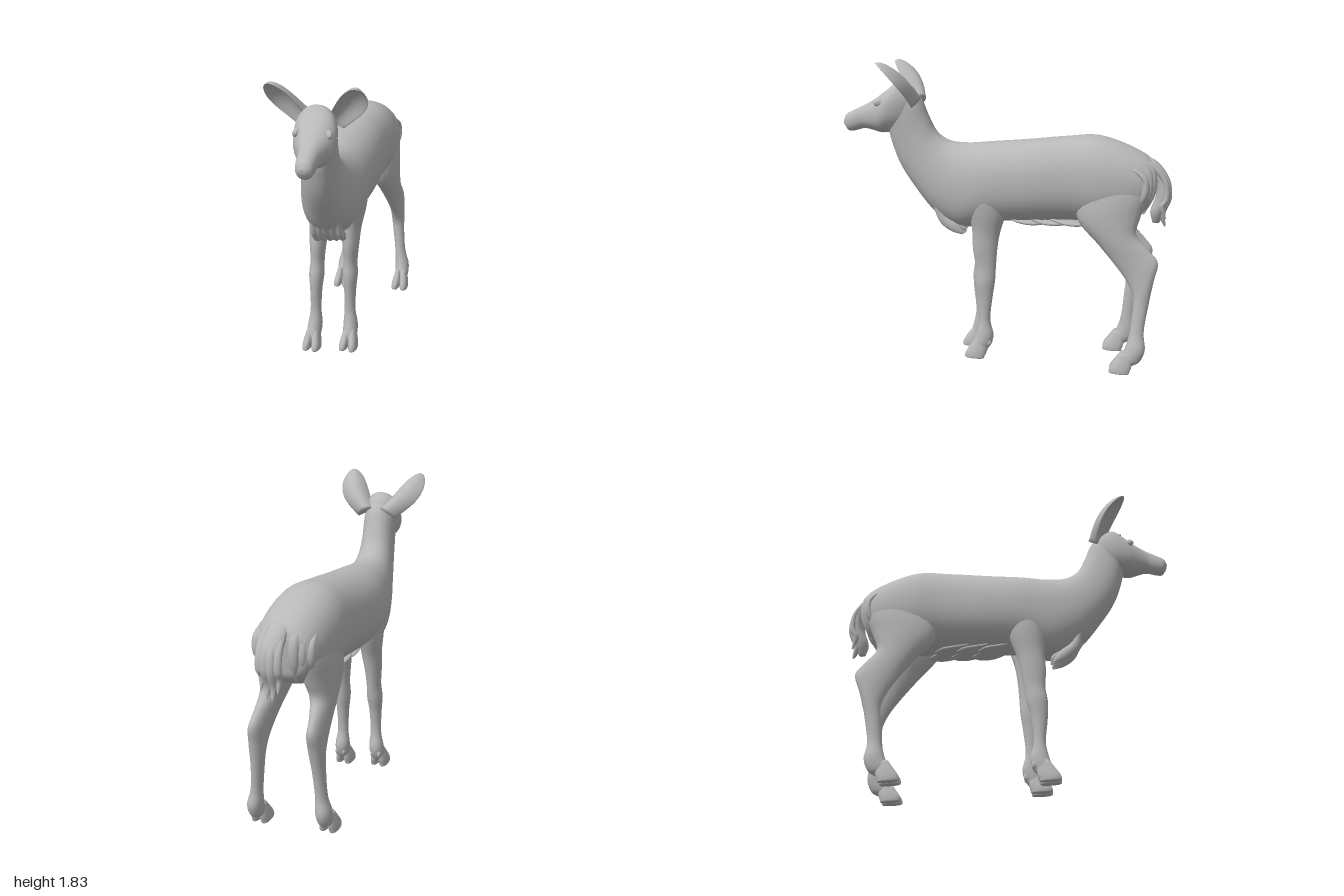
import * as THREE from 'three';

const coat = new THREE.MeshStandardMaterial({ color: 0xb8b8b8 });
coat.name = 'greyCoat';

// Closed skin over a list of rings, each an array of Vector3
function skin(rings) {
  const n = rings[0].length, pos = [], idx = [];
  rings.forEach(r => r.forEach(p => pos.push(p.x, p.y, p.z)));
  for (let i = 0; i < rings.length - 1; i++) for (let j = 0; j < n; j++) {
    const a = i * n + j, b = i * n + (j + 1) % n;
    idx.push(a, b, a + n, b, b + n, a + n);
  }
  [0, rings.length - 1].forEach((k, end) => {
    const c = rings[k].reduce((s, p) => s.add(p), new THREE.Vector3()).divideScalar(n);
    const ci = pos.length / 3;
    pos.push(c.x, c.y, c.z);
    for (let j = 0; j < n; j++) {
      const a = k * n + j, b = k * n + (j + 1) % n;
      end ? idx.push(ci, a, b) : idx.push(ci, b, a);
    }
  });
  const g = new THREE.BufferGeometry();
  g.setAttribute('position', new THREE.Float32BufferAttribute(pos, 3));
  g.setIndex(idx);
  g.computeVertexNormals();
  return g;
}

// Smooth loft; each row is [z1, y1, z2, y2, centreX, halfWidth], two opposite edges of a section
function loft(rows, sub = 5, sides = 28, power = 2.2) {
  const A = new THREE.CatmullRomCurve3(rows.map(r => new THREE.Vector3(r[4], r[1], r[0])), false, 'centripetal');
  const B = new THREE.CatmullRomCurve3(rows.map(r => new THREE.Vector3(r[5], r[3], r[2])), false, 'centripetal');
  const rings = [], steps = (rows.length - 1) * sub, round = v => Math.sign(v) * Math.abs(v) ** (2 / power);
  for (let i = 0; i <= steps; i++) {
    const a = A.getPoint(i / steps), b = B.getPoint(i / steps), ring = [];
    for (let j = 0; j < sides; j++) {
      const t = j / sides * Math.PI * 2, s = round(Math.sin(t)), c = round(Math.cos(t));
      ring.push(new THREE.Vector3(a.x + b.x * c, (a.y + b.y) / 2 + (a.y - b.y) / 2 * s, (a.z + b.z) / 2 + (a.z - b.z) / 2 * s));
    }
    rings.push(ring);
  }
  return skin(rings);
}

// Lock of fur through points [x, y, z, halfWidth, halfDepth]
function lock(pts, sub = 4, sides = 10) {
  return loft(pts.map((p, i) => {
    const q = pts[Math.max(i - 1, 0)], r = pts[Math.min(i + 1, pts.length - 1)];
    const ty = r[1] - q[1], tz = r[2] - q[2], l = Math.hypot(ty, tz) || 1;
    const ny = tz / l * p[4], nz = -ty / l * p[4];
    return [p[2] + nz, p[1] + ny, p[2] - nz, p[1] - ny, p[0], p[3]];
  }), sub, sides, 2);
}

// Cupped, round-tipped ear
function ear(side) {
  const curve = new THREE.QuadraticBezierCurve3(
    new THREE.Vector3(0.07, 1.585, 0.575), new THREE.Vector3(0.195, 1.7, 0.6), new THREE.Vector3(0.235, 1.84, 0.715));
  const N = new THREE.Vector3(0.25, -0.5, 0.8).normalize(), rings = [];
  const S = new THREE.Vector3(0.47, 0.74, 0.47).cross(N).normalize();
  for (let i = 0; i <= 24; i++) {
    const t = 1 - (1 - i / 24) ** 1.5, p = curve.getPoint(t), ring = [];
    const w = 0.003 + 0.08 * Math.max(0, Math.sin(Math.PI * (0.2 + 0.8 * t ** 1.6))) ** 0.55;
    for (let j = 0; j < 24; j++) {
      const a = j / 24 * Math.PI * 2, u = Math.cos(a);
      const d = -w * 0.7 * (1 - u * u) + 0.02 * t + (0.005 + 0.028 * (1 - t) ** 2) * Math.sin(a);
      const v = p.clone().addScaledVector(S, w * u).addScaledVector(N, d);
      v.x *= side;
      ring.push(v);
    }
    rings.push(side > 0 ? ring.reverse() : ring);
  }
  return skin(rings);
}

export function createModel() {
  const root = new THREE.Group();
  root.name = 'fawn';
  const add = (name, geo, parent = root) => {
    const m = new THREE.Mesh(geo, coat);
    m.name = name;
    parent.add(m);
    return m;
  };
  const group = name => {
    const g = new THREE.Group();
    g.name = name;
    root.add(g);
    return g;
  };

  // Trunk and neck in one sweep from rump to skull
  add('bodyAndNeck', loft([
    [-0.895, 1.2, -0.875, 1.05, -0.04, 0.08], [-0.87, 1.265, -0.85, 0.97, -0.04, 0.15],
    [-0.76, 1.335, -0.77, 0.91, -0.04, 0.192], [-0.55, 1.405, -0.6, 0.88, -0.04, 0.214],
    [-0.35, 1.395, -0.4, 0.89, -0.04, 0.203], [-0.1, 1.37, -0.1, 0.875, -0.04, 0.207],
    [0.1, 1.355, 0.08, 0.865, -0.04, 0.2], [0.25, 1.345, 0.28, 0.825, -0.035, 0.175],
    [0.36, 1.36, 0.44, 0.915, -0.027, 0.145], [0.43, 1.41, 0.56, 1.06, -0.018, 0.12],
    [0.48, 1.51, 0.655, 1.21, -0.008, 0.104], [0.52, 1.61, 0.705, 1.35, 0, 0.1],
    [0.57, 1.67, 0.72, 1.42, 0.004, 0.1]], 6, 40));

  // Head
  add('head', loft([
    [0.53, 1.61, 0.59, 1.45, 0, 0.06], [0.58, 1.685, 0.64, 1.42, 0, 0.1],
    [0.655, 1.71, 0.7, 1.41, 0.006, 0.118], [0.73, 1.66, 0.76, 1.405, 0.014, 0.113],
    [0.8, 1.61, 0.815, 1.42, 0.02, 0.087], [0.87, 1.57, 0.87, 1.43, 0.025, 0.062],
    [0.935, 1.54, 0.93, 1.415, 0.028, 0.053], [0.98, 1.515, 0.965, 1.415, 0.03, 0.045],
    [0.998, 1.48, 0.992, 1.45, 0.03, 0.02]], 6, 32));
  for (const s of [1, -1]) {
    const side = s > 0 ? 'left' : 'right';
    add(side + 'Ear', ear(s));
    const eye = add(side + 'Eye', new THREE.SphereGeometry(1, 18, 12));
    eye.scale.set(0.02, 0.024, 0.036);
    eye.position.set(0.015 + s * 0.085, 1.59, 0.755);
    eye.rotation.y = s * 0.4;
  }

  // Legs: section edges front and back, x per row, z shift growing towards the foot
  const front = [
    [0.2, 1.24, 0.03, 1.24, 0.04], [0.235, 1.06, -0.01, 1.04, 0.07], [0.225, 0.95, 0, 0.93, 0.072],
    [0.205, 0.83, 0.035, 0.8, 0.06], [0.2, 0.7, 0.05, 0.7, 0.05], [0.185, 0.59, 0.06, 0.58, 0.042],
    [0.19, 0.5, 0.065, 0.5, 0.046], [0.178, 0.4, 0.08, 0.4, 0.037], [0.165, 0.25, 0.095, 0.25, 0.034],
    [0.18, 0.17, 0.075, 0.15, 0.044], [0.2, 0.1, 0.095, 0.085, 0.043], [0.2, 0.07, 0.12, 0.055, 0.03]];
  const hind = [
    [-0.52, 1.28, -0.74, 1.28, 0.05], [-0.43, 1.07, -0.85, 1.1, 0.083], [-0.44, 0.92, -0.815, 0.95, 0.088],
    [-0.57, 0.77, -0.79, 0.84, 0.066], [-0.68, 0.64, -0.86, 0.755, 0.048], [-0.745, 0.55, -0.92, 0.68, 0.044],
    [-0.78, 0.47, -0.9, 0.57, 0.043], [-0.78, 0.4, -0.875, 0.43, 0.037], [-0.765, 0.25, -0.85, 0.25, 0.035],
    [-0.745, 0.17, -0.86, 0.15, 0.046], [-0.715, 0.1, -0.83, 0.08, 0.043], [-0.715, 0.07, -0.79, 0.055, 0.03]];
  const legs = [
    ['leftFrontLeg', front, [0.07, 0.075, 0.064, 0.05, 0.048, 0.045, 0.045, 0.045, 0.045, 0.048, 0.05, 0.05], 0],
    ['rightFrontLeg', front, [-0.15, -0.15, -0.147, -0.145, -0.15, -0.153, -0.155, -0.157, -0.16, -0.165, -0.17, -0.172], 0.055],
    ['leftHindLeg', hind, [0.06, 0.082, 0.09, 0.11, 0.122, 0.13, 0.137, 0.145, 0.165, 0.18, 0.185, 0.185], 0],
    ['rightHindLeg', hind, [-0.14, -0.162, -0.167, -0.185, -0.2, -0.205, -0.205, -0.205, -0.21, -0.22, -0.22, -0.22], 0.06]];
  for (const [name, rows, xs, shift] of legs) {
    const g = group(name);
    const move = y => shift * THREE.MathUtils.clamp((1 - y) / 0.6, 0, 1);
    add('limb', loft(rows.map((r, i) => [r[0] + move(r[1]), r[1], r[2] + move(r[3]), r[3], xs[i], r[4]]), 5, 22, 2), g);
    // Cloven hoof and dewclaws
    const x = xs[xs.length - 1], z = (rows === front ? 0.25 : -0.65) + shift;
    for (const s of [1, -1]) {
      add('toe', loft([
        [z - 0.07, 0.14, z - 0.14, 0.12, x + s * 0.018, 0.018], [z - 0.03, 0.085, z - 0.135, 0.055, x + s * 0.024, 0.027],
        [z - 0.003, 0.045, z - 0.125, 0.025, x + s * 0.029, 0.027], [z, 0.018, z - 0.12, 0.01, x + s * 0.03, 0.025],
        [z - 0.02, 0.01, z - 0.1, 0.008, x + s * 0.03, 0.014]], 4, 14), g);
      const claw = add('dewclaw', new THREE.SphereGeometry(0.017, 10, 8), g);
      claw.scale.set(0.8, 1.4, 1);
      claw.position.set(x + s * 0.022, 0.11, z - 0.15);
    }
  }

  // Tail with overlapping locks
  const tail = group('tail');
  add('tailCore', lock([[-0.03, 1.27, -0.78, 0.05, 0.03], [-0.025, 1.235, -0.87, 0.06, 0.035], [-0.015, 1.15, -0.93, 0.065, 0.042],
    [-0.01, 1.05, -0.94, 0.062, 0.045], [-0.01, 0.95, -0.905, 0.045, 0.04], [-0.01, 0.89, -0.9, 0.015, 0.02]], 6, 20), tail);
  for (let i = 0; i < 4; i++) {
    const x = -0.06 + i * 0.033, drop = [0.05, 0, 0.015, 0.06][i], back = [0.012, 0, 0, 0.012][i];
    add('tailLock', lock([[x, 1.28, -0.8, 0.015, 0.01], [x, 1.225, -0.9 + back, 0.022, 0.016], [x, 1.14, -0.962 + back, 0.026, 0.018],
      [x, 1.04, -0.97 + back, 0.027, 0.02], [x, 0.94 + drop, -0.935, 0.022, 0.02], [x, 0.865 + drop, -0.955, 0.003, 0.004]], 4, 14), tail);
  }

  // Rump fur either side of the tail
  const rump = group('rumpFur');
  for (const s of [1, -1]) for (let i = 0; i < 3; i++) {
    const x = -0.035 + s * (0.085 + i * 0.036), b = i * 0.02;
    add('rumpLock', lock([[x, 1.27 - b, -0.8 + b, 0.015, 0.01], [x, 1.21 - b, -0.87 + b, 0.027, 0.02],
      [x - s * 0.005, 1.08, -0.872 + b, 0.03, 0.024], [x - s * 0.015, 0.95 + b, -0.825 + b, 0.006, 0.006]], 4, 14), rump);
  }

  // Shaggy chest fur
  const chest = group('chestFur');
  for (let i = 0; i < 9; i++) {
    const x = -0.1 + i * 0.019, k = (i * 5 % 9) / 9, o = Math.abs(i - 4) * 0.008;
    add('chestLock', lock([[x, 1.1 - 0.06 * k, 0.55 - o, 0.005, 0.01], [x, 0.965, 0.46 - o, 0.015, 0.02],
      [x, 0.88, 0.4 - 0.04 * k, 0.018, 0.027], [x, 0.82 + 0.03 * k, 0.33 - 0.03 * k, 0.016, 0.03],
      [x, 0.775 + 0.05 * k, 0.27 - 0.02 * k, 0.004, 0.008]]), chest);
  }

  // Belly fur in overlapping flat flaps
  const belly = group('bellyFur');
  for (let r = 0; r < 3; r++) for (let i = 0; i < 2; i++) {
    const x = -0.08 + i * 0.08, z = -0.01 - r * 0.13 - i * 0.04;
    add('bellyFlap', lock([[x, 0.9, z + 0.04, 0.04, 0.01], [x, 0.878, z - 0.04, 0.06, 0.015],
      [x, 0.868, z - 0.12, 0.055, 0.014], [x, 0.862, z - 0.17, 0.015, 0.005]], 4, 14), belly);
  }
  return root;
}
